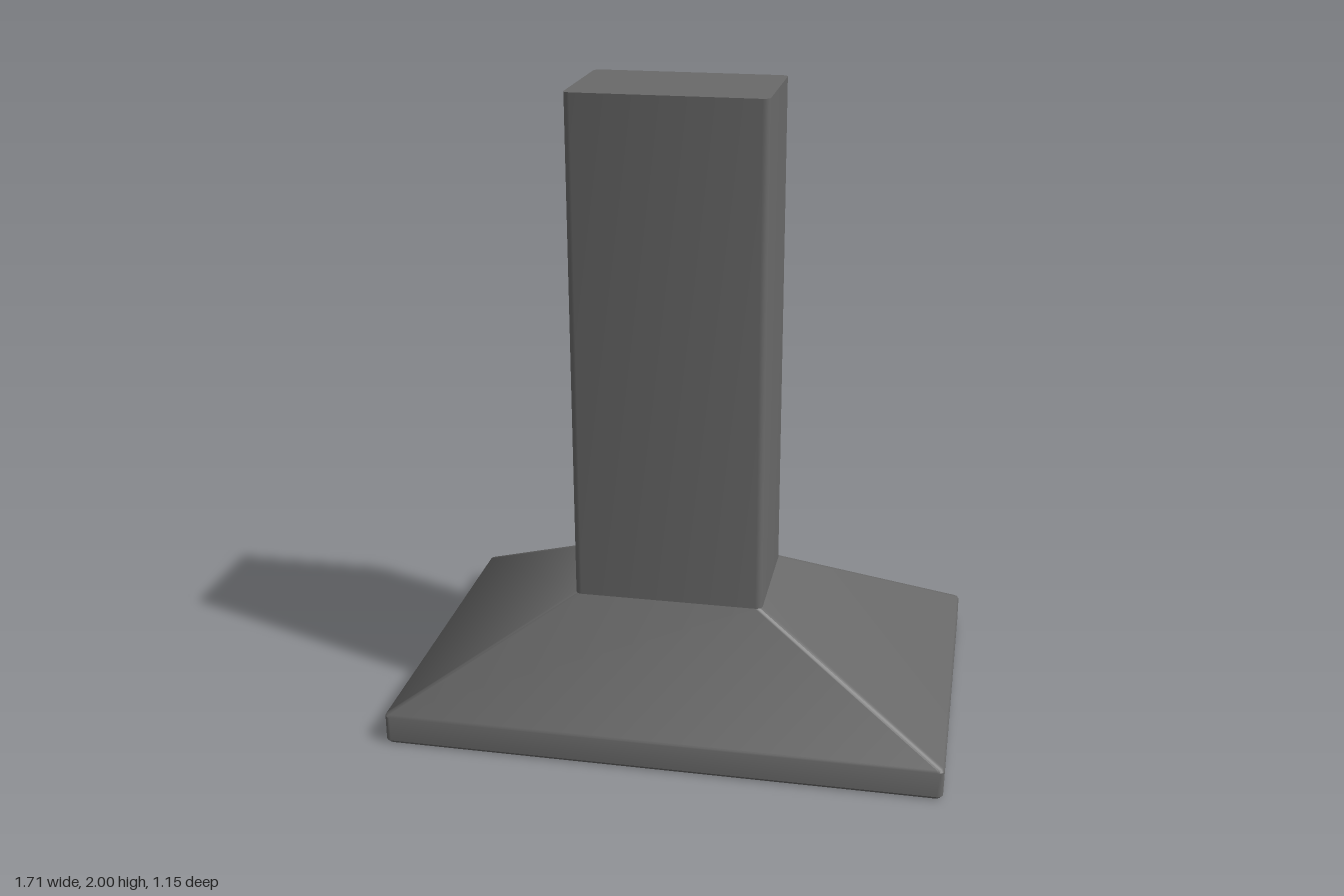
import * as THREE from 'three';
import { toCreasedNormals } from 'three/addons/utils/BufferGeometryUtils.js';

const steel = new THREE.MeshStandardMaterial({ color: 0x696969 });
const black = new THREE.MeshStandardMaterial({ color: 0x1c1c1c });

// Rounded rectangle in the xz plane, from half sizes, corner radius and z centre
function ring({ y, hx, hz, r, z }, steps = 4) {
  const points = [];
  [[1, 1], [-1, 1], [-1, -1], [1, -1]].forEach(([sx, sz], corner) => {
    for (let i = 0; i <= steps; i++) {
      const a = (corner + i / steps) * Math.PI / 2;
      points.push([sx * (hx - r) + r * Math.cos(a), y, z + sz * (hz - r) + r * Math.sin(a)]);
    }
  });
  return points;
}

// Skin a run of rings and close both ends
function loft(levels) {
  const rings = levels.map((level) => ring(level));
  const n = rings[0].length;
  const position = rings.flat(2);
  const index = [];
  for (let l = 0; l < rings.length - 1; l++) {
    for (let i = 0; i < n; i++) {
      const a = l * n + i, b = l * n + (i + 1) % n;
      index.push(a, a + n, b, b, a + n, b + n);
    }
  }
  const last = (rings.length - 1) * n;
  const first = levels[0], end = levels[levels.length - 1];
  const c = rings.length * n;
  position.push(0, first.y, first.z, 0, end.y, end.z);
  for (let i = 0; i < n; i++) {
    const j = (i + 1) % n;
    index.push(c, i, j, c + 1, last + j, last + i);
  }
  const geometry = new THREE.BufferGeometry();
  geometry.setAttribute('position', new THREE.Float32BufferAttribute(position, 3));
  geometry.setIndex(index);
  return toCreasedNormals(geometry, 0.6);
}

function add(group, name, geometry, material, x = 0, y = 0, z = 0) {
  const mesh = new THREE.Mesh(geometry, material);
  mesh.name = name;
  mesh.position.set(x, y, z);
  group.add(mesh);
  return mesh;
}

export function createModel() {
  const model = new THREE.Group();
  model.name = 'cookerHood';

  // Canopy: recessed underside, bevelled rim, upright skirt, softened edge, sloping sides
  const hx = 0.855, hz = 0.57, midZ = 0.004;
  const outline = (y, inset, r) => ({ y, hx: hx - inset, hz: hz - inset, r, z: midZ });
  const neck = { hx: 0.287, hz: 0.191, r: 0.02, z: 0.195 };
  add(model, 'canopy', loft([
    outline(0.04, 0.03, 0.01),
    outline(0, 0.03, 0.01),
    outline(0, 0.008, 0.014),
    outline(0.01, 0, 0.018),
    outline(0.09, 0, 0.018),
    outline(0.098, 0.004, 0.018),
    { ...neck, y: 0.475 },
  ]), steel);

  // Chimney
  add(model, 'chimney', loft([{ ...neck, y: 0.475 }, { ...neck, y: 2 }]), steel);

  // Filter grille in the recess
  const grille = new THREE.Group();
  grille.name = 'filterGrille';
  grille.position.z = midZ;
  model.add(grille);
  const columns = 6, rows = 5, bar = 0.025, depth = 0.03;
  const gx = hx - 0.03, gz = hz - 0.03;
  for (let i = 1; i < columns; i++) {
    const x = (i / columns * 2 - 1) * gx;
    add(grille, 'grilleBarLengthwise', new THREE.BoxGeometry(bar, depth, gz * 2), black, x, 0.027, 0);
  }
  for (let i = 1; i < rows; i++) {
    const z = (i / rows * 2 - 1) * gz;
    add(grille, 'grilleBarCrosswise', new THREE.BoxGeometry(gx * 2, depth, bar), black, 0, 0.028, z);
  }

  // Switch on the back of the skirt
  const control = new THREE.Group();
  control.name = 'switch';
  control.position.set(-0.742, 0.06, midZ - hz);
  model.add(control);
  add(control, 'switchPlate', new THREE.BoxGeometry(0.04, 0.055, 0.008), black);
  const rocker = add(control, 'switchRocker', new THREE.BoxGeometry(0.024, 0.036, 0.01), black, 0, 0, -0.004);
  rocker.rotation.x = -0.15;

  return model;
}
